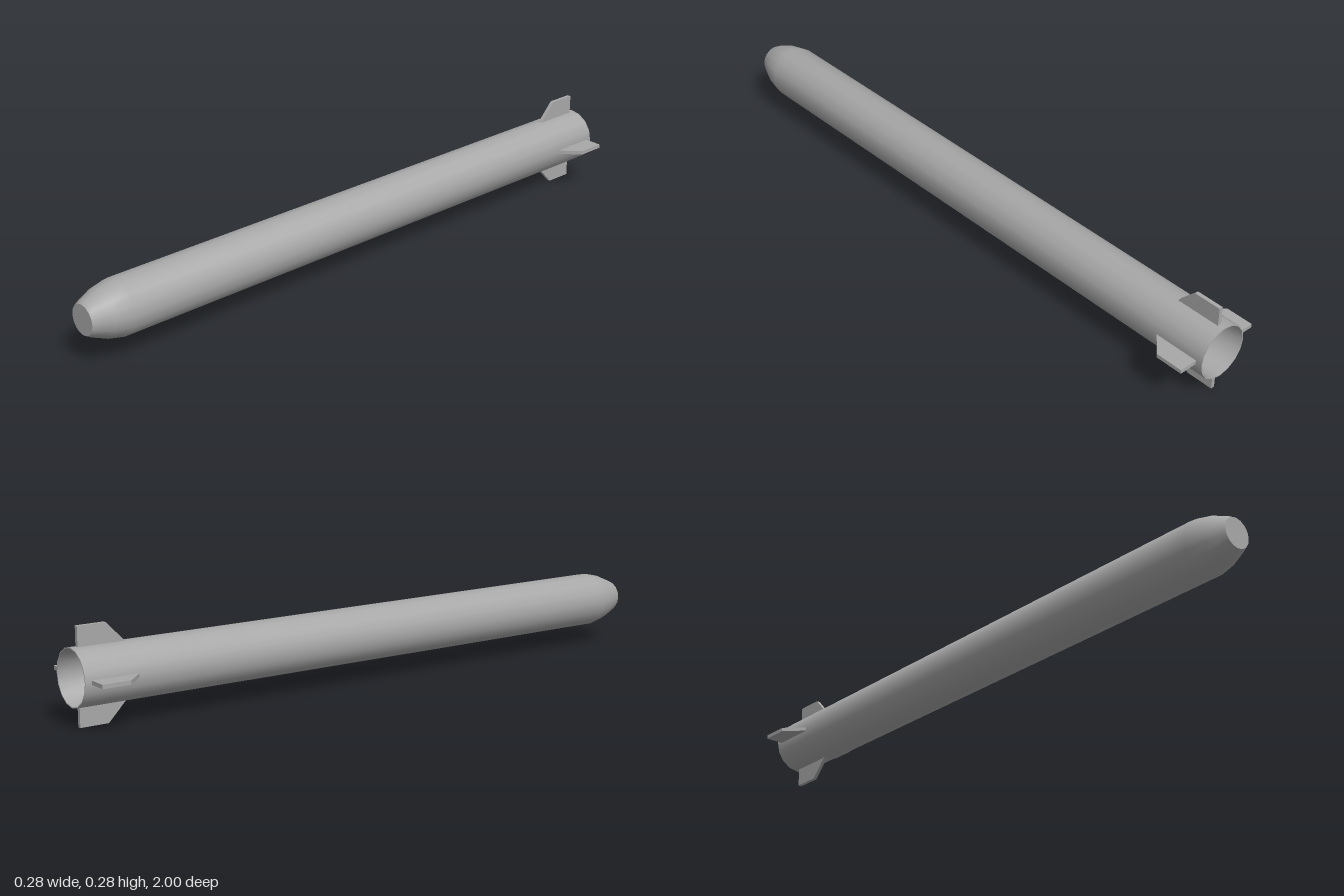
import * as THREE from 'three';
import { toCreasedNormals } from 'three/addons/utils/BufferGeometryUtils.js';

const AXIS_Y = 0.141;
const FIN_THICKNESS = 0.012;

export function createModel() {
  const model = new THREE.Group();
  model.name = 'rocket';
  const grey = new THREE.MeshStandardMaterial({ color: 0xa8a8a8 });
  grey.name = 'grey metal';

  // Sixteen-sided tube with hollow tail and blunt nose: [radius, z] from cavity floor to nose
  const profile = [
    [0, -0.87], [0.074, -0.87], [0.081, -1], [0.084, -1],
    [0.084, 0.89], [0.073, 0.94], [0.052, 0.99], [0.046, 1], [0, 1],
  ].map(([r, z]) => new THREE.Vector2(r, z));
  const bodyGeometry = new THREE.LatheGeometry(profile, 16).rotateX(Math.PI / 2);
  const body = new THREE.Mesh(toCreasedNormals(bodyGeometry, 0.7), grey);
  body.name = 'body';
  body.position.y = AXIS_Y;
  model.add(body);

  // Fin outline in radius and z, with a swept leading edge
  const outline = new THREE.Shape([
    [0.079, -0.98], [0.141, -0.98], [0.141, -0.893], [0.084, -0.838], [0.079, -0.838],
  ].map(([r, z]) => new THREE.Vector2(r, z)));
  const finGeometry = new THREE.ExtrudeGeometry(outline, { depth: FIN_THICKNESS, bevelEnabled: false })
    .translate(0, 0, -FIN_THICKNESS / 2)
    .rotateX(Math.PI / 2);

  // Four fins around the tail
  ['leftFin', 'topFin', 'rightFin', 'bottomFin'].forEach((name, i) => {
    const fin = new THREE.Mesh(finGeometry, grey);
    fin.name = name;
    fin.position.y = AXIS_Y;
    fin.rotation.z = i * Math.PI / 2;
    model.add(fin);
  });

  return model;
}
